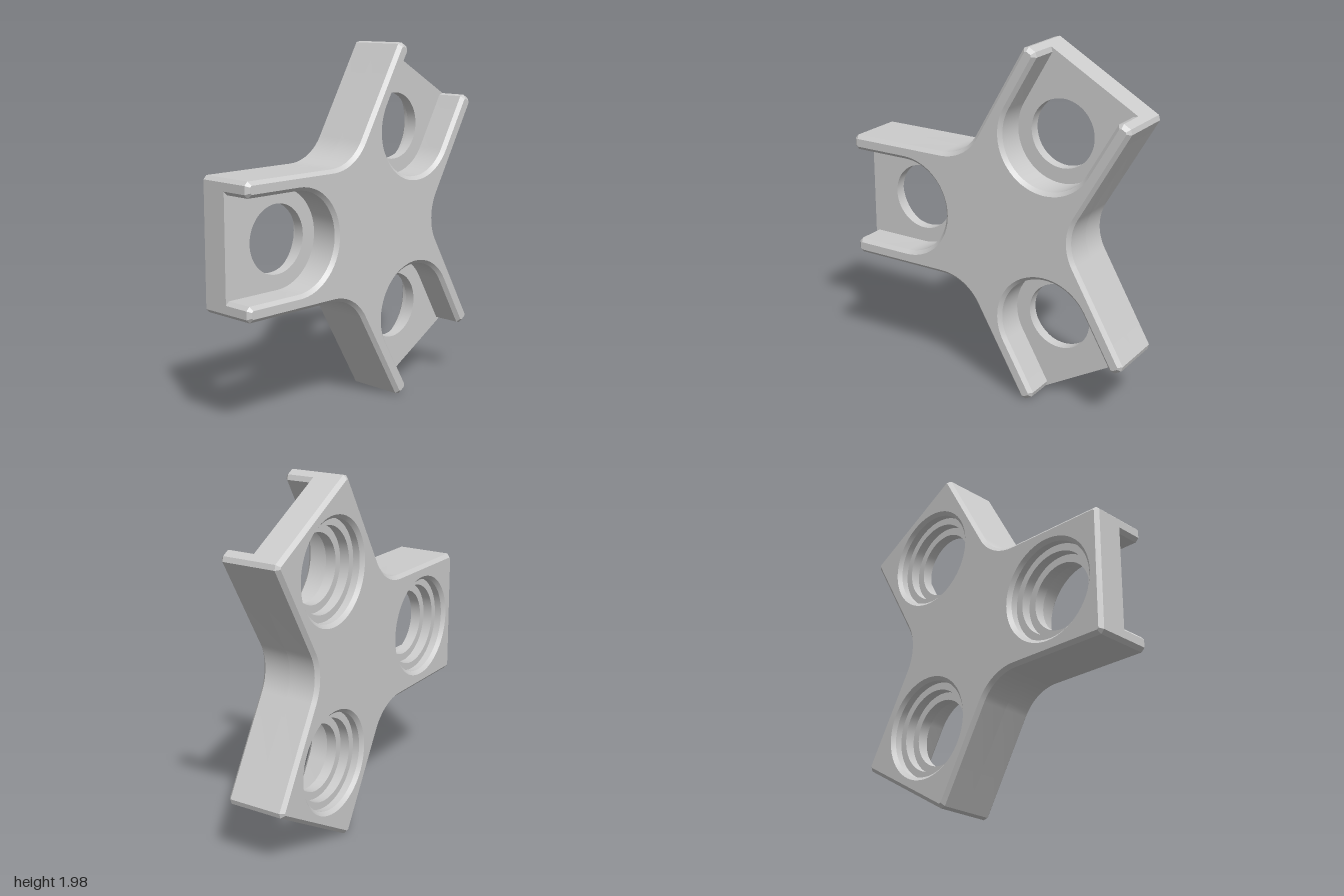
import * as THREE from 'three';
import { mergeGeometries, toCreasedNormals } from 'three/addons/utils/BufferGeometryUtils.js';

const CX = 0.084, CY = 1;             // hub centre
const R = 0.95, W = 0.355;            // arm length and half width
const H = 0.175, CH = 0.02;           // half thickness, edge chamfer
const D = 0.6, SLOT = 0.27, HOLE = 0.187; // seat distance, pocket and hole radius
const FILLET = 0.26;
const ARMS = [Math.PI / 3, Math.PI, -Math.PI / 3];
const SEG = 64;

const V = (x, y) => new THREE.Vector2(x, y);

// Arc points, both ends included
function arc(cx, cy, r, a0, a1, n) {
  return Array.from({ length: n + 1 }, (_, i) => {
    const a = a0 + (a1 - a0) * i / n;
    return V(cx + r * Math.cos(a), cy + r * Math.sin(a));
  });
}

// From arm space (u outward, v across) to the model's plane
const place = (p, a) => V(
  CX + p.x * Math.cos(a) - p.y * Math.sin(a),
  CY + p.x * Math.sin(a) + p.y * Math.cos(a));

// U-shaped pocket edge, from one tip to the other
function slotEdge(o) {
  const r = R - o, s = SLOT + o, c = CH - 0.586 * o;
  return [V(r, -s - c), V(r - c, -s),
    ...arc(D, 0, s, -Math.PI / 2, -Math.PI * 1.5, SEG / 2),
    V(r - c, s), V(r, s + c)];
}

// Three-armed outline moved inward by o, with or without the pockets
function outline(o, slots) {
  const r = R - o, w = W - o, c = CH - 0.586 * o;
  const d = (W + FILLET) / Math.sin(Math.PI / 3);
  const arm = [V(r - c, -w), V(r, -w + c),
    ...(slots ? slotEdge(o) : []),
    V(r, w - c), V(r - c, w),
    ...arc(d * 0.5, d * Math.sin(Math.PI / 3), FILLET + o, -Math.PI / 2, -Math.PI * 5 / 6, 12)];
  return ARMS.flatMap(a => arm.map(p => place(p, a)));
}

// Side walls through matching loops at rising z
function walls(levels) {
  const pos = [];
  for (let k = 0; k + 1 < levels.length; k++) {
    const [A, za] = levels[k], [B, zb] = levels[k + 1];
    A.forEach((a, i) => {
      const j = (i + 1) % A.length, a2 = A[j], b = B[i], b2 = B[j];
      pos.push(a.x, a.y, za, a2.x, a2.y, za, b2.x, b2.y, zb,
        a.x, a.y, za, b2.x, b2.y, zb, b.x, b.y, zb);
    });
  }
  const g = new THREE.BufferGeometry();
  g.setAttribute('position', new THREE.Float32BufferAttribute(pos, 3));
  return g;
}

// Flat face at z, with optional holes; back faces look toward -z
function cap(points, holes, z, back = false) {
  const flip = pts => back ? pts.map(p => V(-p.x, p.y)) : pts;
  const shape = new THREE.Shape(flip(points));
  shape.holes = holes.map(h => new THREE.Path(flip(h)));
  const g = new THREE.ShapeGeometry(shape);
  if (back) g.rotateY(Math.PI);
  return bare(g.translate(0, 0, z));
}

// Positions only, so that geometries can be merged
function bare(g) {
  const out = g.index ? g.toNonIndexed() : g;
  out.deleteAttribute('uv');
  out.deleteAttribute('normal');
  return out;
}

export function createModel() {
  const group = new THREE.Group();
  const material = new THREE.MeshStandardMaterial({ color: 0xcccccc });
  const add = (name, parts) => {
    const mesh = new THREE.Mesh(toCreasedNormals(mergeGeometries(parts), 0.5), material);
    mesh.name = name;
    group.add(mesh);
  };
  const centres = ARMS.map(a => place(V(D, 0), a));
  const circle = (c, r) => arc(c.x, c.y, r, 0, Math.PI * 2, SEG).slice(0, -1);

  // Back half: solid arms with a chamfered back edge
  const full = outline(0, false), fullIn = outline(CH, false);
  add('backBody', [
    walls([[fullIn, -H], [full, -H + CH], [full, 0]]),
    cap(fullIn, centres.map(c => circle(c, SLOT + CH)), -H, true),
  ]);

  // Front half: hub and rails around the open pockets
  const rim = outline(0, true), rimIn = outline(CH, true);
  add('frontRails', [
    walls([[rim, 0], [rim, H - CH], [rimIn, H]]),
    cap(rimIn, [], H),
  ]);

  // Pocket floors
  add('pocketFloors', ARMS.map((a, i) =>
    cap(slotEdge(0).map(p => place(p, a)), [circle(centres[i], HOLE)], 0)));

  // Stepped round seats opening to the back
  const profile = [V(HOLE, 0), V(HOLE, -0.06), V(0.23, -0.06), V(0.23, -0.115),
    V(SLOT, -0.115), V(SLOT, -H + CH), V(SLOT + CH, -H)];
  centres.forEach((c, i) => {
    const bore = new THREE.LatheGeometry(profile, SEG).rotateX(Math.PI / 2);
    add('steppedSeat' + (i + 1), [bare(bore.translate(c.x, c.y, 0))]);
  });
  return group;
}
